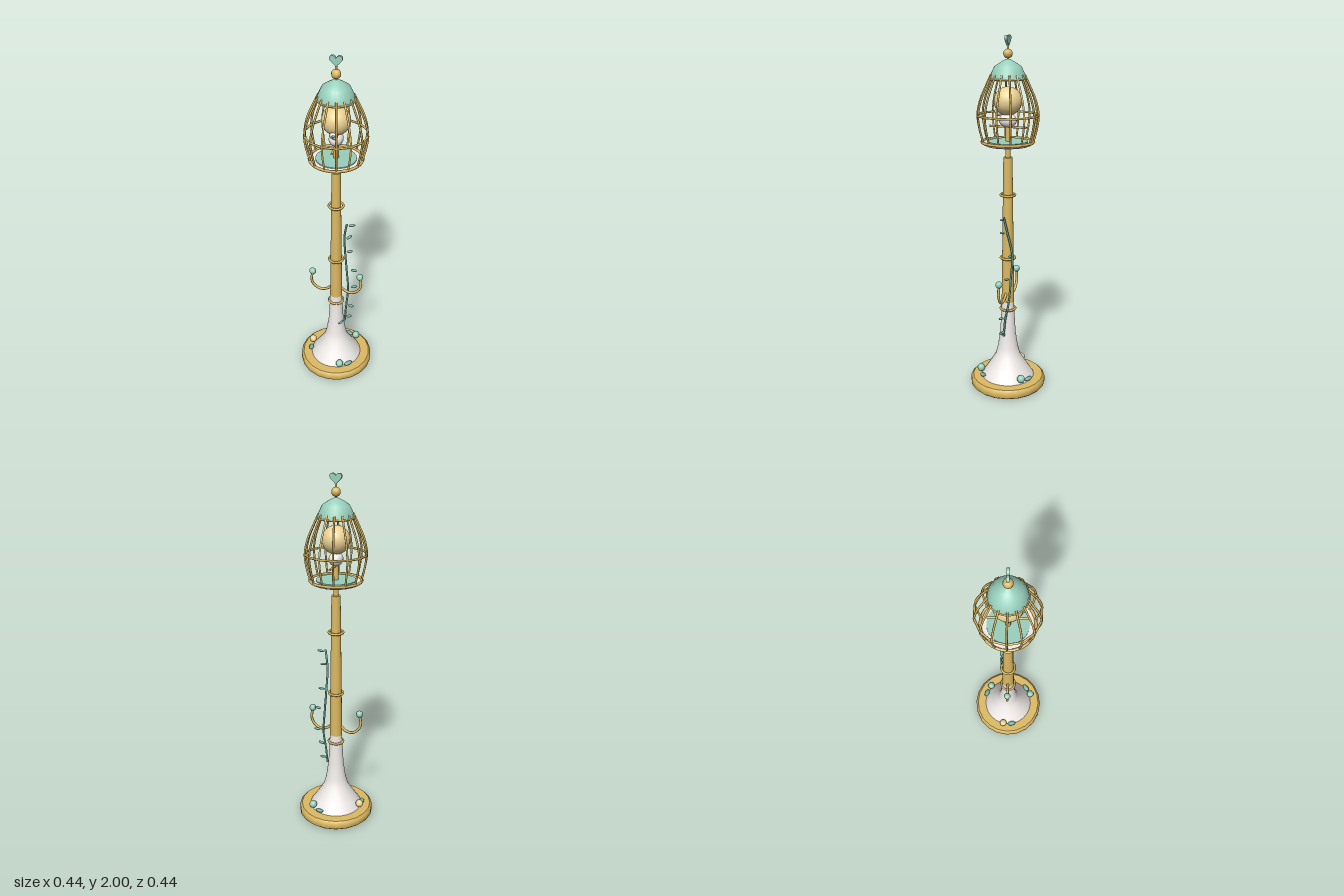
import * as THREE from 'three';

const mat = (color, extra = {}) => {
  const m = new THREE.MeshStandardMaterial({ color });
  return Object.assign(m, extra);
};
const GOLD = mat(0xdcb961), WHITE = mat(0xf0ebe8), TEAL = mat(0x98cfbc), CREAM = mat(0xecd394);
const LEAF = mat(0x78b5a4);
const ROOF = mat(0x98cfbc, { side: THREE.DoubleSide });
const V = (x, y, z = 0) => new THREE.Vector3(x, y, z);

export function createModel() {
  const root = new THREE.Group();
  const add = (name, geo, material, x = 0, y = 0, z = 0, parent = root) => {
    const m = new THREE.Mesh(geo, material);
    m.name = name;
    m.position.set(x, y, z);
    parent.add(m);
    return m;
  };
  const lathe = (pts, seg) => new THREE.LatheGeometry(pts.map(p => new THREE.Vector2(p[0], p[1])), seg);
  const ball = (r, w = 14, h = 10) => new THREE.SphereGeometry(r, w, h);
  const tube = (pts, r, n = 20) => new THREE.TubeGeometry(new THREE.CatmullRomCurve3(pts), n, r, 6);
  const ring = (name, r, t, y, seg = 24) => {
    const m = add(name, new THREE.TorusGeometry(r, t, 6, seg), GOLD, 0, y);
    m.rotation.x = Math.PI / 2;
    return m;
  };
  const leaf = (x, y, z, angle, size, parent) => {
    const m = add('leaf', ball(1, 8, 6), LEAF, x, y, z, parent);
    m.scale.set(size, size * 0.28, size * 0.55);
    m.rotation.set(0, angle, 0.12);
    return m;
  };

  // Foot plate with a bevelled rim
  add('footPlate', lathe([[0, 0], [0.205, 0], [0.205, 0], [0.218, 0.012], [0.218, 0.042], [0.205, 0.055], [0.205, 0.055], [0, 0.055]], 20), GOLD);

  // Flared pedestal and pole
  add('pedestal', lathe([[0.155, 0.05], [0.148, 0.065], [0.118, 0.11], [0.072, 0.185], [0.058, 0.24], [0.045, 0.33], [0.038, 0.45], [0.035, 0.53]], 24), WHITE);
  add('pole', new THREE.CylinderGeometry(0.025, 0.036, 0.84, 16), GOLD, 0, 0.94);
  add('neck', new THREE.CylinderGeometry(0.014, 0.014, 0.23, 12), GOLD, 0, 1.455);
  for (const [y, r] of [[0.475, 0.042], [0.785, 0.04], [1.15, 0.04]]) ring('poleRing', r, 0.007, y);

  // Curled side hooks with round ends
  for (const s of [1, -1]) {
    const path = [V(0.03, 0.575), V(0.055, 0.553), V(0.09, 0.543), V(0.125, 0.56), V(0.148, 0.6), V(0.142, 0.665)];
    add('hook', tube(path.map(p => V(p.x * s, p.y)), 0.008), GOLD);
    add('hookBall', ball(0.02, 10, 8), TEAL, 0.141 * s, 0.67);
  }

  // Climbing vine with leaves
  add('vine', tube([V(0.055, 0.32, 0.005), V(0.06, 0.42, -0.005), V(0.066, 0.54, -0.03), V(0.055, 0.68, -0.038),
    V(0.043, 0.82, -0.042), V(0.045, 0.94, -0.015), V(0.062, 1.04, 0.002)], 0.006, 40), LEAF);
  const leaves = [[0.09, 1.03, 0, 0.1], [0.075, 0.95, 0.004, 0.9], [0.072, 0.818, -0.04, 0.2], [0.1, 0.69, -0.03, -0.2],
    [0.1, 0.558, -0.04, 0.2], [0.092, 0.445, 0.006, -0.3], [0.08, 0.355, 0, 0.2], [0.035, 0.322, 0.028, 1]];
  for (const [x, y, z, a] of leaves) leaf(x, y, z, a, 0.02, root);

  // Blossoms resting around the pedestal
  [[190, CREAM], [311, TEAL], [70, TEAL]].forEach(([deg, material]) => {
    const a = deg * Math.PI / 180, b = a - 0.36;
    const g = new THREE.Group();
    g.name = 'blossom';
    root.add(g);
    add('bud', ball(0.023, 10, 8), material, 0.158 * Math.cos(a), 0.092, 0.158 * Math.sin(a), g);
    leaf(0.156 * Math.cos(b), 0.074, 0.156 * Math.sin(b), Math.PI / 2 - b, 0.028, g);
  });

  // Cage floor, rings and ribs
  add('floorRim', new THREE.CylinderGeometry(0.135, 0.13, 0.014, 28), WHITE, 0, 1.437);
  add('floorTop', new THREE.CylinderGeometry(0.108, 0.108, 0.006, 28), TEAL, 0, 1.446);
  add('floorUnderside', new THREE.CylinderGeometry(0.118, 0.118, 0.006, 28), TEAL, 0, 1.428);
  ring('cageLowerRing', 0.14, 0.008, 1.445);
  ring('cageMiddleRing', 0.165, 0.006, 1.588, 14);
  ring('cageUpperRing', 0.098, 0.005, 1.778, 14);
  const ribGeo = tube([V(0.138, 1.445), V(0.157, 1.52), V(0.165, 1.59), V(0.148, 1.67), V(0.118, 1.74), V(0.09, 1.8)], 0.0055);
  for (let i = 0; i < 14; i++) add('cageRib', ribGeo, GOLD).rotation.y = i / 14 * Math.PI * 2;

  // Perch, lamp globe and small bird
  add('perch', new THREE.CylinderGeometry(0.006, 0.006, 0.21, 8), GOLD, 0, 1.525).rotation.x = Math.PI / 2;
  add('lampGlobe', ball(0.076, 20, 14), CREAM, 0, 1.662);
  const bird = new THREE.Group();
  bird.name = 'bird';
  root.add(bird);
  add('birdBody', ball(0.038, 16, 12), WHITE, 0, 1.56, 0, bird).scale.set(1, 1, 1.3);
  add('birdHead', ball(0.022, 12, 10), WHITE, 0, 1.603, 0.052, bird);
  const beak = add('birdBeak', new THREE.ConeGeometry(0.009, 0.022, 8), LEAF, 0, 1.606, 0.08, bird);
  beak.rotation.x = Math.PI / 2;

  // Domed roof, finial ball and heart
  add('roof', lathe([[0.098, 1.772], [0.092, 1.8], [0.072, 1.842], [0.04, 1.863], [0.012, 1.878], [0, 1.88]], 24), ROOF);
  add('finialStem', new THREE.CylinderGeometry(0.006, 0.006, 0.09, 8), GOLD, 0, 1.91);
  add('finialBall', ball(0.025, 10, 8), GOLD, 0, 1.907);
  const h = new THREE.Shape();
  h.moveTo(0, 0);
  h.bezierCurveTo(-0.012, 0.015, -0.033, 0.026, -0.033, 0.041);
  h.bezierCurveTo(-0.033, 0.06, -0.006, 0.06, 0, 0.042);
  h.bezierCurveTo(0.006, 0.06, 0.033, 0.06, 0.033, 0.041);
  h.bezierCurveTo(0.033, 0.026, 0.012, 0.015, 0, 0);
  const heart = new THREE.ExtrudeGeometry(h, { depth: 0.014, bevelEnabled: false, curveSegments: 8 });
  add('heart', heart, TEAL, 0, 1.945, -0.007);

  return root;
}
